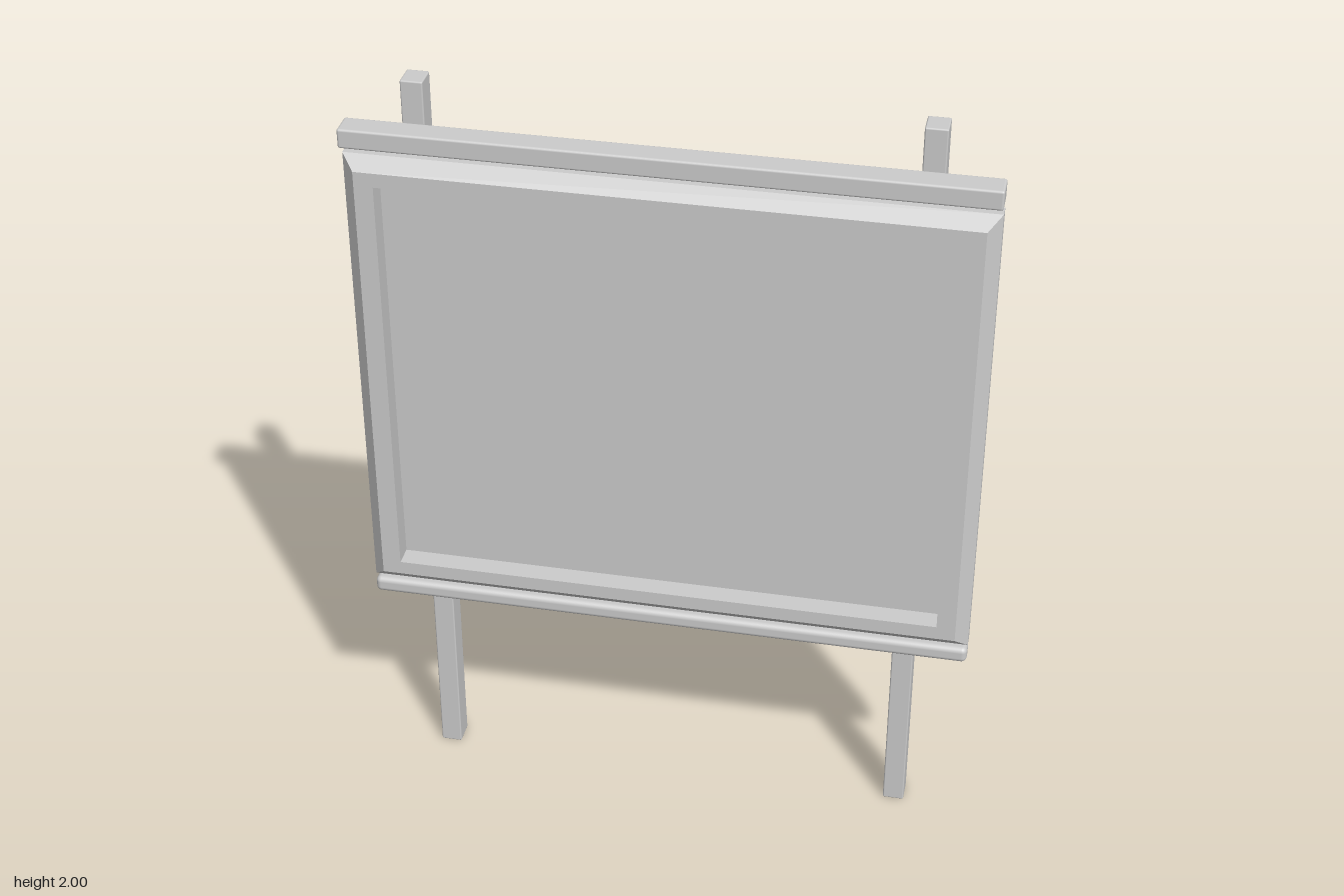
import * as THREE from 'three';
import { RoundedBoxGeometry } from 'three/addons/geometries/RoundedBoxGeometry.js';

const material = new THREE.MeshStandardMaterial({ color: 0xcccccc });

function add(parent, name, geometry, x, y, z) {
  const mesh = new THREE.Mesh(geometry, material);
  mesh.name = name;
  mesh.position.set(x, y, z);
  parent.add(mesh);
  return mesh;
}

// Skins a sequence of rectangular rings [halfWidth, halfHeight, z] with mitred flat faces
function mitredFrame(rings) {
  const corners = [[-1, -1], [1, -1], [1, 1], [-1, 1]];
  const point = ([w, h, z], i) => [corners[i % 4][0] * w, corners[i % 4][1] * h, z];
  const positions = [];
  for (let r = 0; r < rings.length - 1; r++) {
    for (let i = 0; i < 4; i++) {
      const a = point(rings[r], i), b = point(rings[r], i + 1);
      const c = point(rings[r + 1], i + 1), d = point(rings[r + 1], i);
      positions.push(...a, ...b, ...c, ...a, ...c, ...d);
    }
  }
  const geometry = new THREE.BufferGeometry();
  geometry.setAttribute('position', new THREE.Float32BufferAttribute(positions, 3));
  geometry.computeVertexNormals();
  return geometry;
}

export function createModel() {
  const group = new THREE.Group();
  group.name = 'noticeBoard';

  // Display case: chamfered picture frame around a recessed panel
  const board = new THREE.Group();
  board.name = 'board';
  board.position.y = 1.2;
  group.add(board);
  add(board, 'frame', mitredFrame([
    [0.70, 0.55, 0.006],
    [0.78, 0.62, 0.006],
    [0.78, 0.62, 0.04],
    [0.748, 0.587, 0.073],
    [0.70, 0.55, 0.073],
    [0.70, 0.55, 0.018],
  ]), 0, 0, 0);
  add(board, 'panel', new THREE.BoxGeometry(1.4, 1.1, 0.012), 0, 0, 0.012);

  // Horizontal rails above and below the case
  add(group, 'topRail', new RoundedBoxGeometry(1.56, 0.05, 0.068, 3, 0.006), 0, 1.87, 0.039);
  add(group, 'bottomRail', new RoundedBoxGeometry(1.56, 0.044, 0.046, 4, 0.014), 0, 0.55, 0.03);

  // Posts with domed bolt heads at the back
  for (const side of [-1, 1]) {
    const post = new THREE.Group();
    post.name = side > 0 ? 'leftPost' : 'rightPost';
    post.position.x = side * 0.613;
    group.add(post);
    add(post, 'postBeam', new RoundedBoxGeometry(0.055, 2, 0.064, 2, 0.004), 0, 1, -0.03);
    for (const y of [0.555, 1.87]) {
      const dome = new THREE.SphereGeometry(0.013, 16, 8, 0, Math.PI * 2, 0, Math.PI / 2);
      add(post, 'bolt', dome.rotateX(-Math.PI / 2), 0, y, -0.061);
      // Bolt shank joining the post to the rail
      const shank = new THREE.CylinderGeometry(0.008, 0.008, 0.03, 12).rotateX(Math.PI / 2);
      add(post, 'boltShank', shank, 0, y, 0.005);
    }
  }
  return group;
}
